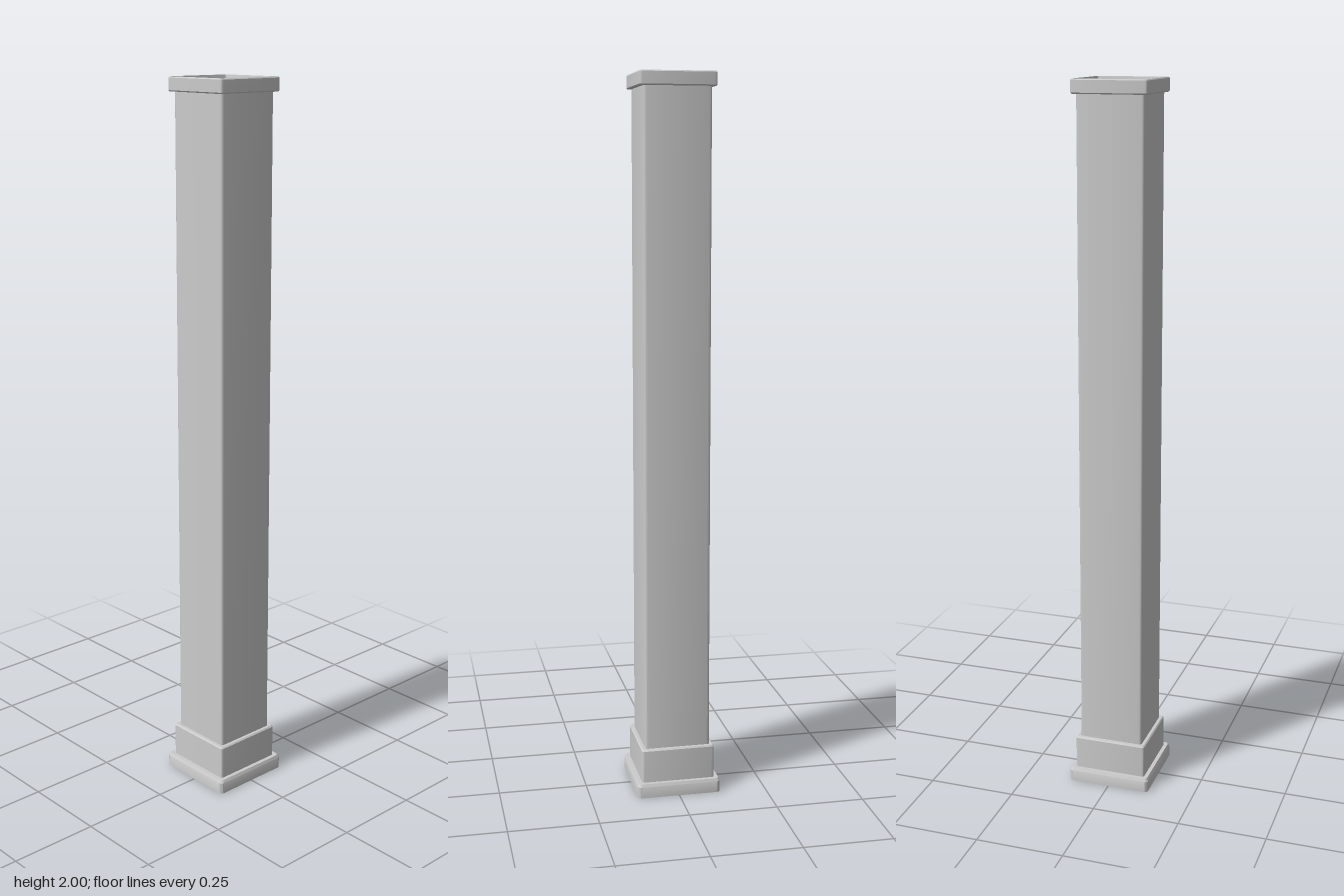
import * as THREE from 'three';
import { toCreasedNormals } from 'three/addons/utils/BufferGeometryUtils.js';

const material = new THREE.MeshStandardMaterial({ color: 0xcccccc });
const CORNER_STEPS = 4;

// Rounded square outline with half-width h and corner radius r
function ring(h, y, r) {
  const points = [];
  for (let corner = 0; corner < 4; corner++) {
    const mid = Math.PI / 4 + corner * Math.PI / 2;
    const cx = Math.sign(Math.cos(mid)) * (h - r);
    const cz = Math.sign(Math.sin(mid)) * (h - r);
    for (let s = 0; s <= CORNER_STEPS; s++) {
      const a = corner * Math.PI / 2 + (s / CORNER_STEPS) * Math.PI / 2;
      points.push([cx + r * Math.cos(a), y, cz + r * Math.sin(a)]);
    }
  }
  return points;
}

// Hollow square moulding: closed profile of [half-width, height, corner radius],
// up the outside and down the inside
function squareFrame(name, profile) {
  const rings = profile.map(([h, y, r]) => ring(h, y, r));
  const n = rings[0].length;
  const index = [];
  for (let i = 0; i < rings.length; i++) {
    const up = (i + 1) % rings.length;
    for (let j = 0; j < n; j++) {
      const next = (j + 1) % n;
      const a = i * n + j, b = up * n + j, c = i * n + next, d = up * n + next;
      index.push(a, b, c, b, d, c);
    }
  }
  const geometry = new THREE.BufferGeometry();
  geometry.setAttribute('position', new THREE.Float32BufferAttribute(rings.flat(2), 3));
  geometry.setIndex(index);
  const mesh = new THREE.Mesh(toCreasedNormals(geometry, 0.5), material);
  mesh.name = name;
  return mesh;
}

export function createModel() {
  const column = new THREE.Group();
  column.name = 'hollowColumn';

  // Thin-walled square tube
  column.add(squareFrame('shaft', [
    [0.0925, 0.03, 0.008], [0.0925, 1.968, 0.008],
    [0.0905, 1.968, 0.002], [0.0905, 0.03, 0.002],
  ]));

  // Wide bottom moulding with a chamfered top edge
  column.add(squareFrame('foot', [
    [0.119, 0, 0.01], [0.119, 0.032, 0.01], [0.115, 0.04, 0.01],
    [0.0915, 0.04, 0.002], [0.0915, 0.03, 0.002], [0.099, 0, 0.004],
  ]));

  // Collar around the bottom of the shaft
  column.add(squareFrame('collar', [
    [0.104, 0.038, 0.007], [0.104, 0.132, 0.007], [0.101, 0.136, 0.007],
    [0.0915, 0.136, 0.002], [0.0915, 0.038, 0.002],
  ]));

  // Top rim, flaring inwards to the shaft opening
  column.add(squareFrame('cap', [
    [0.0915, 1.962, 0.002], [0.102, 1.962, 0.007], [0.104, 1.965, 0.007],
    [0.104, 1.997, 0.007], [0.102, 2, 0.007],
    [0.098, 2, 0.004], [0.0915, 1.968, 0.002],
  ]));

  return column;
}
